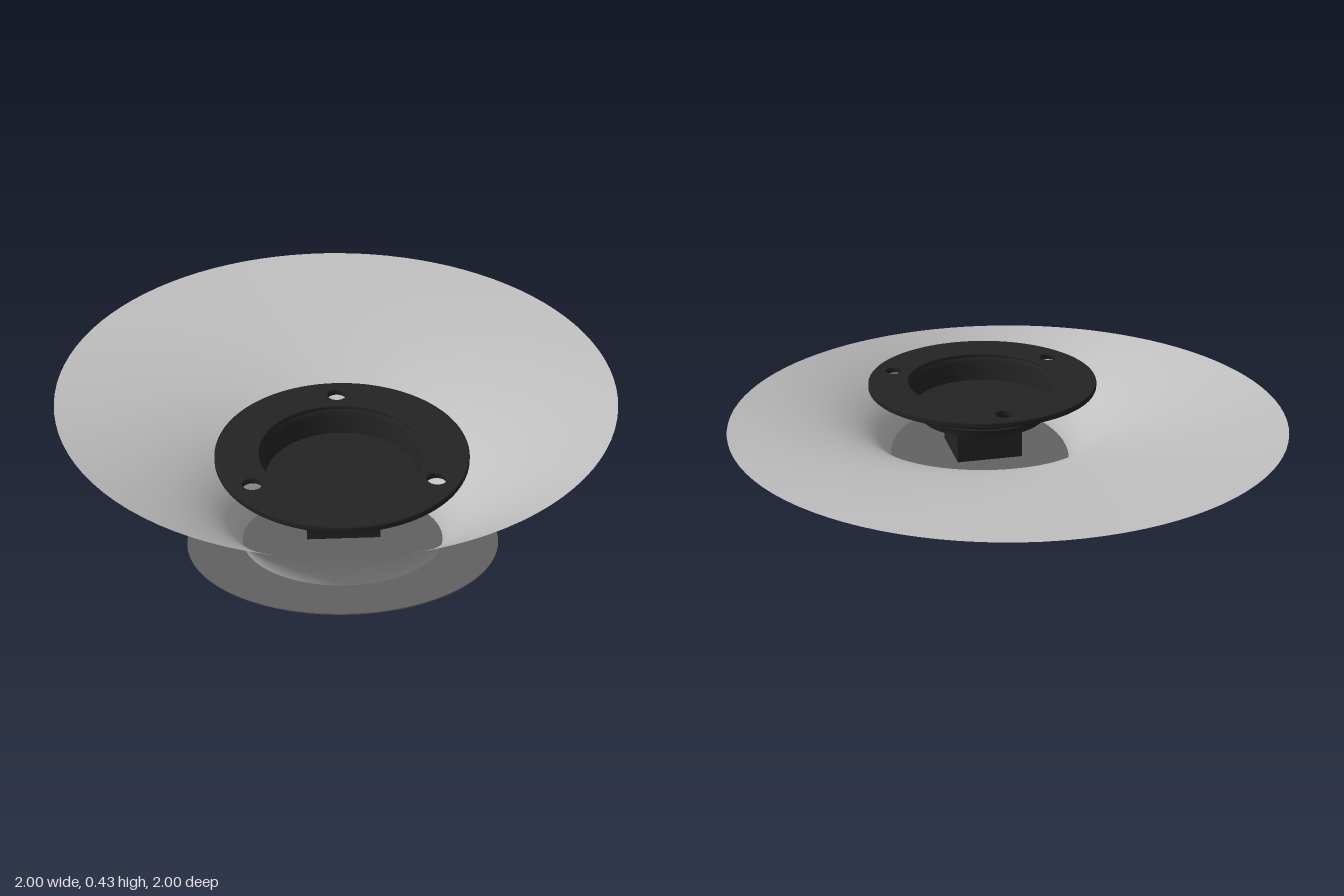
import * as THREE from 'three';

const flareMat = new THREE.MeshStandardMaterial({ color: 0xc0c0c0, side: THREE.DoubleSide });
flareMat.name = 'light grey';
const discMat = new THREE.MeshStandardMaterial({ color: 0x626262 });
discMat.name = 'mid grey';
const blackMat = new THREE.MeshStandardMaterial({ color: 0x232323 });
blackMat.name = 'black';

const SLOPE = 0.176; // tilt of the base, rising along +x of the lean axis
const BASE = { x: 0.455, y: 0.1, r: 0.345 };
const HEAD_X = 0.405;

function add(parent, name, geometry, material) {
  const mesh = new THREE.Mesh(geometry, material);
  mesh.name = name;
  parent.add(mesh);
  return mesh;
}

// Skin swept from the small tilted neck ring up to the wide level rim
function flareGeometry(around = 96, steps = 28) {
  const pos = [], index = [];
  for (let j = 0; j <= steps; j++) {
    const t = j / steps;
    for (let i = 0; i < around; i++) {
      const a = (i / around) * Math.PI * 2, c = Math.cos(a), s = Math.sin(a);
      const neck = new THREE.Vector3(BASE.x + BASE.r * c, BASE.y + SLOPE * BASE.r * c, BASE.r * s);
      const r = 0.405 - 0.025 * c;
      const bend = new THREE.Vector3(BASE.x + r * c, 0.35 - 0.06 * c, r * s);
      const rim = new THREE.Vector3(c, 0.43, s);
      const p = new THREE.QuadraticBezierCurve3(neck, bend, rim).getPoint(t);
      pos.push(p.x, p.y, p.z);
      if (j < steps) {
        const n = (i + 1) % around, k = j * around;
        index.push(k + i, k + n, k + around + i, k + n, k + around + n, k + around + i);
      }
    }
  }
  const g = new THREE.BufferGeometry();
  g.setAttribute('position', new THREE.Float32BufferAttribute(pos, 3));
  g.setIndex(index);
  g.computeVertexNormals();
  return g;
}

// Flat ring with three screw holes
function flangeGeometry() {
  const shape = new THREE.Shape().absarc(0, 0, 0.427, 0, Math.PI * 2);
  const hole = (x, y, r) => shape.holes.push(new THREE.Path().absarc(x, y, r, 0, Math.PI * 2, true));
  hole(0, 0, 0.285);
  for (const a of [Math.PI, Math.PI / 3, -Math.PI / 3]) hole(0.353 * Math.cos(a), 0.353 * Math.sin(a), 0.037);
  const g = new THREE.ExtrudeGeometry(shape, {
    depth: 0.014, bevelEnabled: true, bevelThickness: 0.005, bevelSize: 0.005, bevelSegments: 2, curveSegments: 64,
  });
  return g.rotateX(-Math.PI / 2);
}

// Hollow cup below the flange: outside, then inside of the recess
function cupGeometries() {
  const lathe = (pts) => new THREE.LatheGeometry(pts.map(([x, y]) => new THREE.Vector2(x, y)), 64);
  return {
    cupBottom: lathe([[0, 0.29], [0.24, 0.29]]),
    cupWall: lathe([[0.24, 0.29], [0.255, 0.35], [0.265, 0.385], [0.30, 0.408]]),
    recessWall: lathe([[0.262, 0.325], [0.272, 0.395], [0.278, 0.412], [0.292, 0.428]].reverse()),
    recessFloor: lathe([[0.262, 0.325], [0, 0.325]]),
  };
}

export function createModel() {
  const model = new THREE.Group();
  model.name = 'flaredDish';

  // Everything is mirrored about one lean axis, turned 35 degrees
  const body = new THREE.Group();
  body.name = 'body';
  body.rotation.y = -35 * Math.PI / 180;
  model.add(body);

  add(body, 'flare', flareGeometry(), flareMat);

  // Tilted base plate
  const disc = add(body, 'baseDisc', new THREE.CylinderGeometry(0.537, 0.537, 0.004, 96), discMat);
  disc.position.set(BASE.x, BASE.y, 0);
  disc.rotation.z = Math.atan(SLOPE);

  // Black fitting hung inside the flare
  const head = new THREE.Group();
  head.name = 'fitting';
  head.position.x = HEAD_X;
  body.add(head);
  add(head, 'flange', flangeGeometry(), blackMat).position.y = 0.409;
  for (const [name, g] of Object.entries(cupGeometries())) add(head, name, g, blackMat);
  add(head, 'squarePost', new THREE.BoxGeometry(0.245, 0.145, 0.25), blackMat).position.y = 0.222;

  return model;
}
